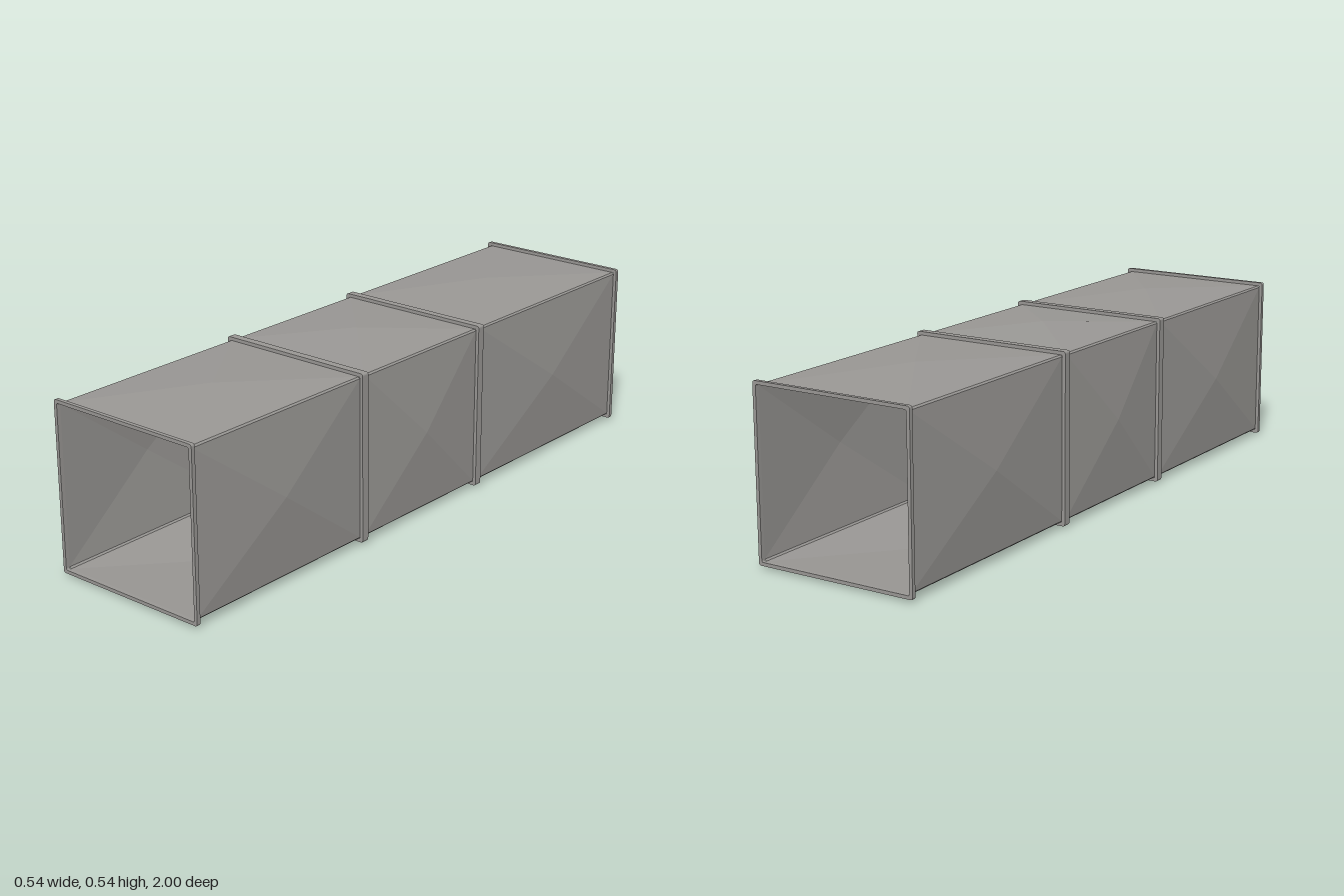
import * as THREE from 'three';

const CENTER_Y = 0.27;   // duct axis height
const INNER = 0.25;      // half width of the sheet walls
const OUTER = 0.2605;    // half width of the flanges
const BULGE = 0.27;      // distance of each panel's peak from the axis
const CORNER = 0.005;    // small corner bend
const FLANGE = 0.0125;   // flange thickness
const JOINTS = [-1, -0.244, 0.302, 1];

// Square outline with small rounded corners
function roundedSquare(path, h, r) {
  path.moveTo(h, -h + r);
  path.lineTo(h, h - r);
  path.absarc(h - r, h - r, r, 0, Math.PI / 2, false);
  path.lineTo(-h + r, h);
  path.absarc(-h + r, h - r, r, Math.PI / 2, Math.PI, false);
  path.lineTo(-h, -h + r);
  path.absarc(-h + r, -h + r, r, Math.PI, Math.PI * 1.5, false);
  path.lineTo(h - r, -h);
  path.absarc(h - r, -h + r, r, Math.PI * 1.5, Math.PI * 2, false);
  return path;
}

// Square ring around the duct
function flangeGeometry() {
  const shape = roundedSquare(new THREE.Shape(), OUTER, 0.007);
  shape.holes.push(roundedSquare(new THREE.Path(), INNER, CORNER));
  return new THREE.ExtrudeGeometry(shape, { depth: FLANGE, bevelEnabled: false, curveSegments: 3 });
}

// One top wall: a shallow four-sided peak plus the bent corner strip beside it
function panelGeometry(z0, z1) {
  const w = INNER - CORNER;
  const a = [-w, INNER, z0], b = [-w, INNER, z1], c = [w, INNER, z1], d = [w, INNER, z0];
  const peak = [0, BULGE, (z0 + z1) / 2];
  const e = [INNER, w, z1], f = [INNER, w, z0];
  const faces = [a, b, peak, b, c, peak, c, d, peak, d, a, peak, d, c, e, d, e, f];
  const geometry = new THREE.BufferGeometry();
  geometry.setAttribute('position', new THREE.Float32BufferAttribute(faces.flat(), 3));
  geometry.computeVertexNormals();
  return geometry;
}

export function createModel() {
  const metal = new THREE.MeshStandardMaterial({ color: 0x999794, side: THREE.DoubleSide });
  metal.name = 'galvanised grey';

  const duct = new THREE.Group();
  duct.name = 'duct';
  duct.position.y = CENTER_Y;
  const ring = flangeGeometry();

  // Three sections, each with a flange at both ends and four walls
  for (let i = 0; i < JOINTS.length - 1; i++) {
    const start = JOINTS[i], end = JOINTS[i + 1];
    const section = new THREE.Group();
    section.name = `section${i + 1}`;

    for (const [name, z] of [['backFlange', start], ['frontFlange', end - FLANGE]]) {
      const flange = new THREE.Mesh(ring, metal);
      flange.name = name;
      flange.position.z = z;
      section.add(flange);
    }

    const panel = panelGeometry(start + FLANGE, end - FLANGE);
    ['topWall', 'leftWall', 'bottomWall', 'rightWall'].forEach((name, k) => {
      const wall = new THREE.Mesh(panel, metal);
      wall.name = name;
      wall.rotation.z = -k * Math.PI / 2;
      section.add(wall);
    });
    duct.add(section);
  }

  const model = new THREE.Group();
  model.name = 'ductRun';
  model.add(duct);
  return model;
}
